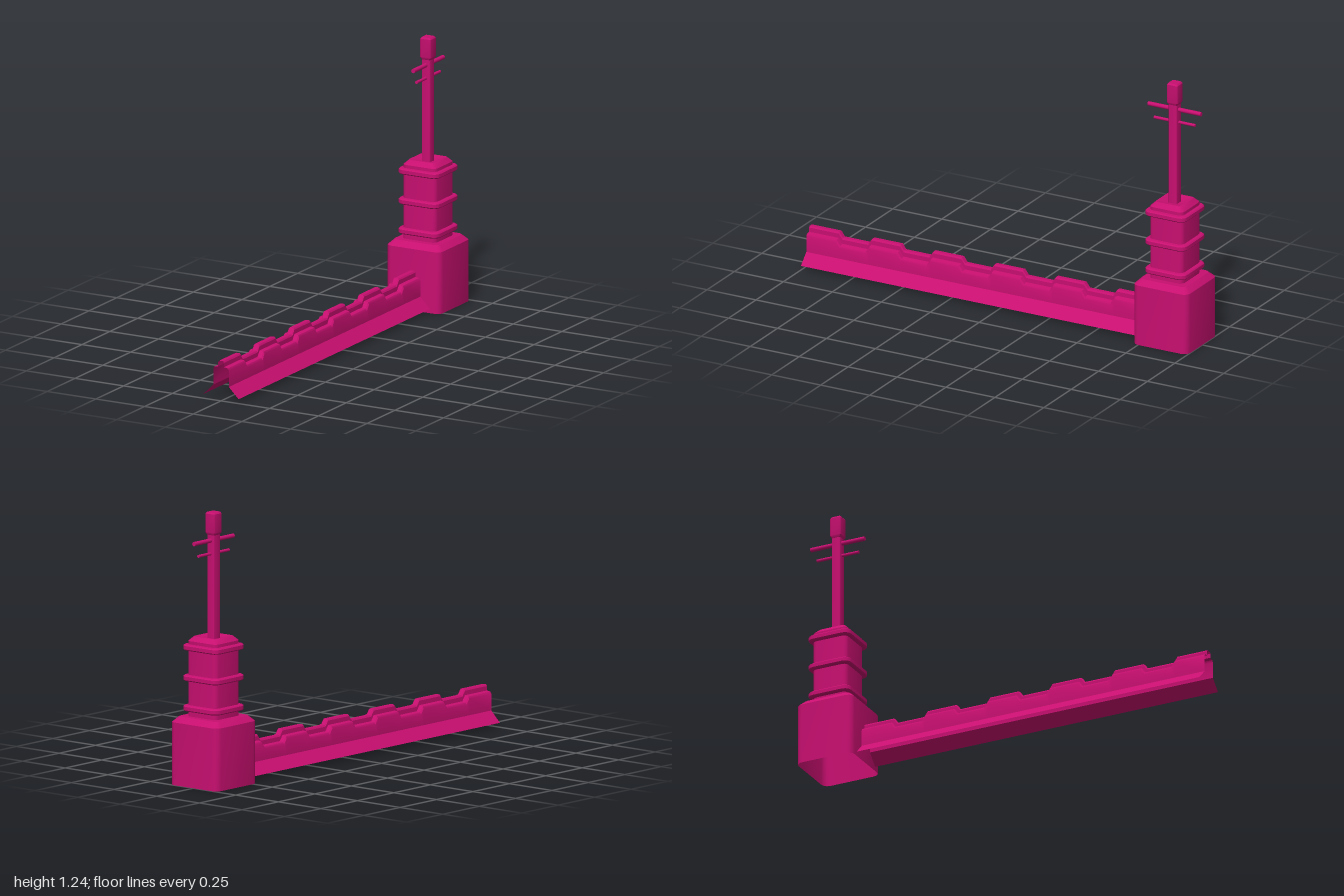
import * as THREE from 'three';
import { toCreasedNormals } from 'three/addons/utils/BufferGeometryUtils.js';

const material = new THREE.MeshStandardMaterial({ color: 0xc80f70, side: THREE.DoubleSide });
const TOWER_Z = -0.86;

// Skin a surface over rows of [x, y, z] points
function skin(rows, closed) {
  const n = rows[0].length, index = [];
  for (let i = 0; i < rows.length - 1; i++) {
    for (let j = 0; j < (closed ? n : n - 1); j++) {
      const k = (j + 1) % n;
      const a = i * n + j, b = i * n + k, c = a + n, d = b + n;
      index.push(a, c, b, b, c, d);
    }
  }
  const geo = new THREE.BufferGeometry();
  geo.setAttribute('position', new THREE.Float32BufferAttribute(rows.flat(2), 3));
  geo.setIndex(index);
  return toCreasedNormals(geo, 0.6);
}

// Square cross-section with rounded corners
function squareRing([half, y, r]) {
  const points = [];
  for (let c = 0; c < 4; c++) {
    const mid = Math.PI / 4 + c * Math.PI / 2;
    const cx = Math.sign(Math.cos(mid)) * (half - r);
    const cz = Math.sign(Math.sin(mid)) * (half - r);
    for (let s = 0; s <= 3; s++) {
      const a = c * Math.PI / 2 + s * Math.PI / 6;
      points.push([cx + r * Math.cos(a), y, cz + r * Math.sin(a)]);
    }
  }
  return points;
}

export function createModel() {
  const group = new THREE.Group();
  const add = (name, geo, y = 0, z = TOWER_Z) => {
    const mesh = new THREE.Mesh(geo, material);
    mesh.name = name;
    mesh.position.set(0, y, z);
    group.add(mesh);
    return mesh;
  };
  const loft = (name, rings, y) => add(name, skin(rings.map(squareRing), true), y);

  // Hollow base block, open underneath: [half width, height, corner radius]
  loft('base', [[0.14, 0, 0.03], [0.14, 0.285, 0.03], [0.115, 0.31, 0.022], [0.08, 0.31, 0.018]]);

  // Shaft with bevelled rim and shallow dip on top
  loft('shaft', [[0.086, 0.305, 0.022], [0.086, 0.652, 0.022], [0.066, 0.672, 0.016],
    [0.055, 0.672, 0.012], [0.03, 0.66, 0.006], [0, 0.66, 0]]);

  // Three moulded bands around the shaft
  for (const y of [0.347, 0.484, 0.623]) {
    loft('band', [[0.08, -0.015, 0.02], [0.1, -0.013, 0.03], [0.105, -0.008, 0.032],
      [0.105, 0.008, 0.032], [0.1, 0.013, 0.03], [0.08, 0.015, 0.02]], y);
  }

  // Spire and its thicker cap
  loft('spire', [[0.021, 0.655, 0.004], [0.021, 1.15, 0.004]]);
  loft('spireCap', [[0.02, 1.13, 0.004], [0.027, 1.143, 0.005], [0.027, 1.228, 0.005],
    [0.022, 1.235, 0.004], [0, 1.235, 0]]);

  // Crossing rods
  for (const [y, radius, length] of [[1.107, 0.01, 0.27], [1.047, 0.007, 0.21]]) {
    add('crossRod', new THREE.CylinderGeometry(radius, radius, length, 12), y).rotation.x = Math.PI / 2;
  }

  // Ridge: flared open sheet whose crest steps up and down
  const halfProfile = [[0.09, 0.02], [0.04, 0.07], [0.04, 0.145], [0.034, 0.155],
    [0.015, 0.158], [0.015, 0.178], [0.01, 0.185]];
  const profile = [...halfProfile, ...halfProfile.map(([x, y]) => [-x, y]).reverse()];
  const section = (z, drop) => profile.map(([x, y]) => [x, y > 0.1 ? y - drop : y, z]);
  const rows = [], pitch = 0.313;
  for (let k = 0; k < 6; k++) {
    const start = 0.993 - k * pitch;
    rows.push(section(k === 0 ? 1 : start, 0));
    if (k === 5) {
      rows.push(section(-0.735, 0));
    } else {
      rows.push(section(start - 0.145, 0), section(start - 0.163, 0.025), section(start - pitch + 0.018, 0.025));
    }
  }
  add('ridge', skin(rows, false), 0, 0);

  return group;
}
